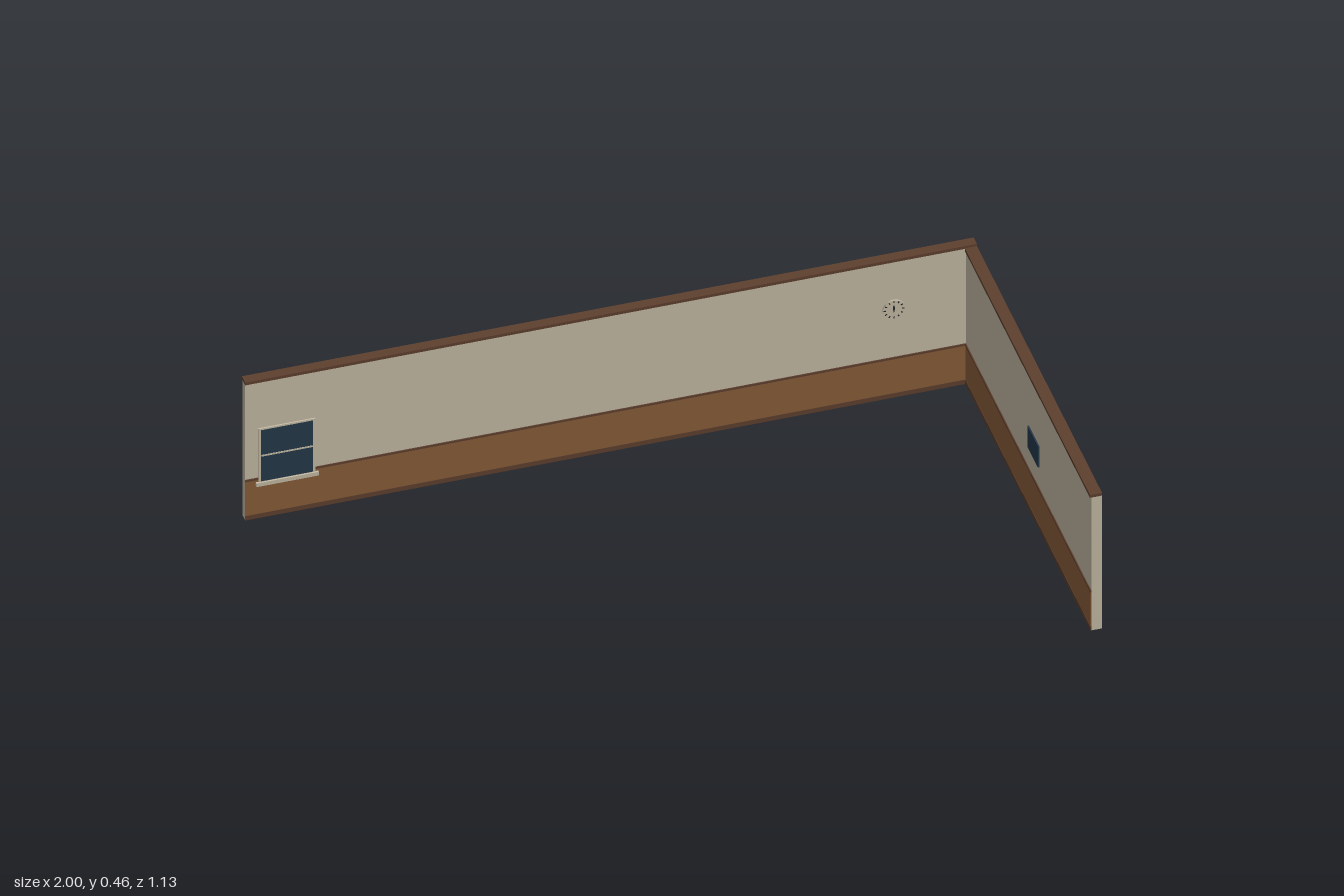
import * as THREE from 'three';

const mat = (name, color) => Object.assign(new THREE.MeshStandardMaterial({ color }), { name });

export function createModel() {
  const group = new THREE.Group();
  const plaster = mat('plaster', 0xc8bda7);
  const wood = mat('panel wood', 0x8b5e3a);
  const darkWood = mat('dark trim wood', 0x5f402e);
  const glass = mat('dark glass', 0x263a4a);
  const black = mat('clock black', 0x25282b);

  // Box given by its two opposite corners
  function box(name, material, [x0, y0, z0], [x1, y1, z1], parent = group) {
    const mesh = new THREE.Mesh(new THREE.BoxGeometry(x1 - x0, y1 - y0, z1 - z0), material);
    mesh.position.set((x0 + x1) / 2, (y0 + y1) / 2, (z0 + z1) / 2);
    mesh.name = name;
    parent.add(mesh);
    return mesh;
  }

  const backZ = -0.54; // inner face of the back wall
  const sideX = 0.971; // inner face of the side wall

  // Walls and their caps
  box('backWall', plaster, [-1, 0, -0.563], [1, 0.446, backZ]);
  box('sideWall', plaster, [sideX, 0, backZ], [1, 0.439, 0.565]);
  box('backWallCap', darkWood, [-1, 0.446, -0.566], [1, 0.455, -0.537]);
  box('sideWallCap', darkWood, [0.967, 0.439, -0.537], [1, 0.448, 0.566]);

  // Wood panelling with rail and baseboard on both inner faces
  const bands = [
    ['wainscot', wood, 0.014, 0.126, 0.002],
    ['chairRail', darkWood, 0.126, 0.132, 0.003],
    ['baseboard', darkWood, 0, 0.014, 0.003],
  ];
  for (const [name, material, y0, y1, depth] of bands) {
    box(name + 'Back', material, [-1, y0, backZ], [sideX, y1, backZ + depth]);
    box(name + 'Side', material, [sideX - depth, y0, backZ], [sideX, y1, 0.565]);
  }

  // Window with a sill and one crossbar
  const win = new THREE.Group();
  win.name = 'window';
  group.add(win);
  box('windowFrame', plaster, [-0.964, 0.114, backZ], [-0.808, 0.294, backZ + 0.004], win);
  box('windowGlass', glass, [-0.957, 0.121, backZ], [-0.815, 0.289, backZ + 0.005], win);
  box('windowCrossbar', plaster, [-0.957, 0.203, backZ], [-0.815, 0.208, backZ + 0.006], win);
  box('windowSill', plaster, [-0.971, 0.107, backZ], [-0.8, 0.119, backZ + 0.008], win);

  // Dark panel on the side wall
  box('wallPanel', glass, [sideX - 0.004, 0.2, 0.015], [sideX, 0.27, 0.108]);

  // Round clock with twelve ticks and two hands
  const clock = new THREE.Group();
  clock.name = 'clock';
  clock.position.set(0.773, 0.291, backZ);
  group.add(clock);
  const face = new THREE.Mesh(new THREE.CylinderGeometry(0.03, 0.03, 0.004, 32), plaster);
  face.rotation.x = Math.PI / 2;
  face.position.z = 0.002;
  face.name = 'clockFace';
  clock.add(face);
  for (let i = 0; i < 12; i++) {
    const a = (i * Math.PI) / 6;
    const tick = box('clockTick', black, [-0.0015, -0.003, 0.004], [0.0015, 0.003, 0.005], clock);
    tick.position.x = Math.sin(a) * 0.025;
    tick.position.y = Math.cos(a) * 0.025;
    tick.rotation.z = -a;
  }
  box('minuteHand', black, [-0.0015, -0.008, 0.004], [0.0015, 0.013, 0.005], clock);
  box('hourHand', black, [-0.003, -0.001, 0.004], [0.003, 0.01, 0.0055], clock);

  return group;
}
